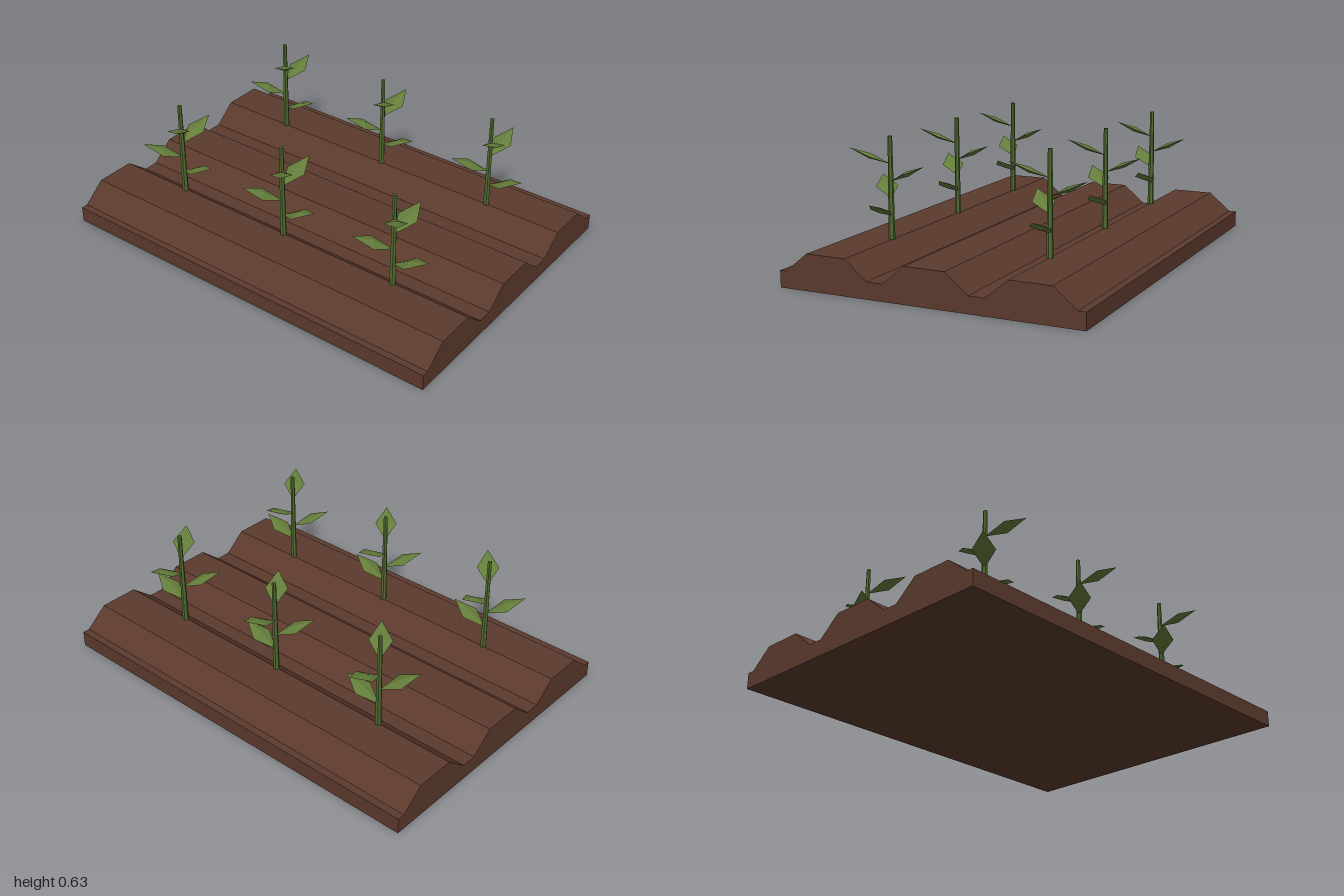
import * as THREE from 'three';

const soil = new THREE.MeshStandardMaterial({ color: 0x5c3a2d });
soil.name = 'soil brown';
const stemGreen = new THREE.MeshStandardMaterial({ color: 0x4f6b2e });
stemGreen.name = 'stem green';
const leafGreen = new THREE.MeshStandardMaterial({ color: 0x647d3a });
leafGreen.name = 'leaf green';

const FURROW_Y = 0.077, RIDGE_Y = 0.165, HALF_WIDTH = 0.72;
const STEM_TOP = 0.633, GOLDEN_ANGLE = THREE.MathUtils.degToRad(137.5);

// Faceted copy of a geometry
function faceted(geometry) {
  const flat = geometry.toNonIndexed();
  flat.computeVertexNormals();
  return flat;
}

// Ploughed bed: three ridges along z
function createBed() {
  const shape = new THREE.Shape();
  shape.moveTo(-HALF_WIDTH, 0);
  shape.lineTo(HALF_WIDTH, 0);
  shape.lineTo(HALF_WIDTH, FURROW_Y);
  for (const x of [0.481, -0.002, -0.484]) {
    shape.lineTo(x + 0.204, FURROW_Y);
    shape.lineTo(x + 0.097, RIDGE_Y);
    shape.lineTo(x - 0.097, RIDGE_Y);
    shape.lineTo(x - 0.204, FURROW_Y);
  }
  shape.lineTo(-HALF_WIDTH, FURROW_Y);
  shape.closePath();
  const geometry = new THREE.ExtrudeGeometry(shape, { depth: 2, bevelEnabled: false });
  geometry.translate(0, 0, -1);
  const bed = new THREE.Mesh(geometry, soil);
  bed.name = 'soilBed';
  return bed;
}

// Tapered stem standing on the ridge
const stemGeometry = faceted(new THREE.CylinderGeometry(0.01, 0.015, STEM_TOP - RIDGE_Y, 6));
stemGeometry.translate(0, (STEM_TOP + RIDGE_Y) / 2, 0);

// Thin diamond leaf growing out along +x and rising
const leafGeometry = new THREE.OctahedronGeometry(1);
leafGeometry.scale(0.0985, 0.012, 0.052);
leafGeometry.translate(0.0985, 0, 0);
leafGeometry.rotateZ(0.42);

function createPlant() {
  const plant = new THREE.Group();
  plant.name = 'plant';
  const stem = new THREE.Mesh(stemGeometry, stemGreen);
  stem.name = 'stem';
  plant.add(stem);
  // Leaves spiral up the stem, the lowest pointing forward
  for (let i = 0; i < 4; i++) {
    const leaf = new THREE.Mesh(leafGeometry, leafGreen);
    leaf.name = 'leaf';
    leaf.position.y = 0.273 + i * 0.078;
    leaf.rotation.y = -(Math.PI / 2 + i * GOLDEN_ANGLE);
    plant.add(leaf);
  }
  return plant;
}

export function createModel() {
  const model = new THREE.Group();
  model.name = 'cropField';
  model.add(createBed());
  // Two rows of three plants
  for (const x of [-0.391, 0.386]) {
    for (const z of [-0.612, 0, 0.612]) {
      const plant = createPlant();
      plant.position.set(x, 0, z);
      model.add(plant);
    }
  }
  return model;
}
